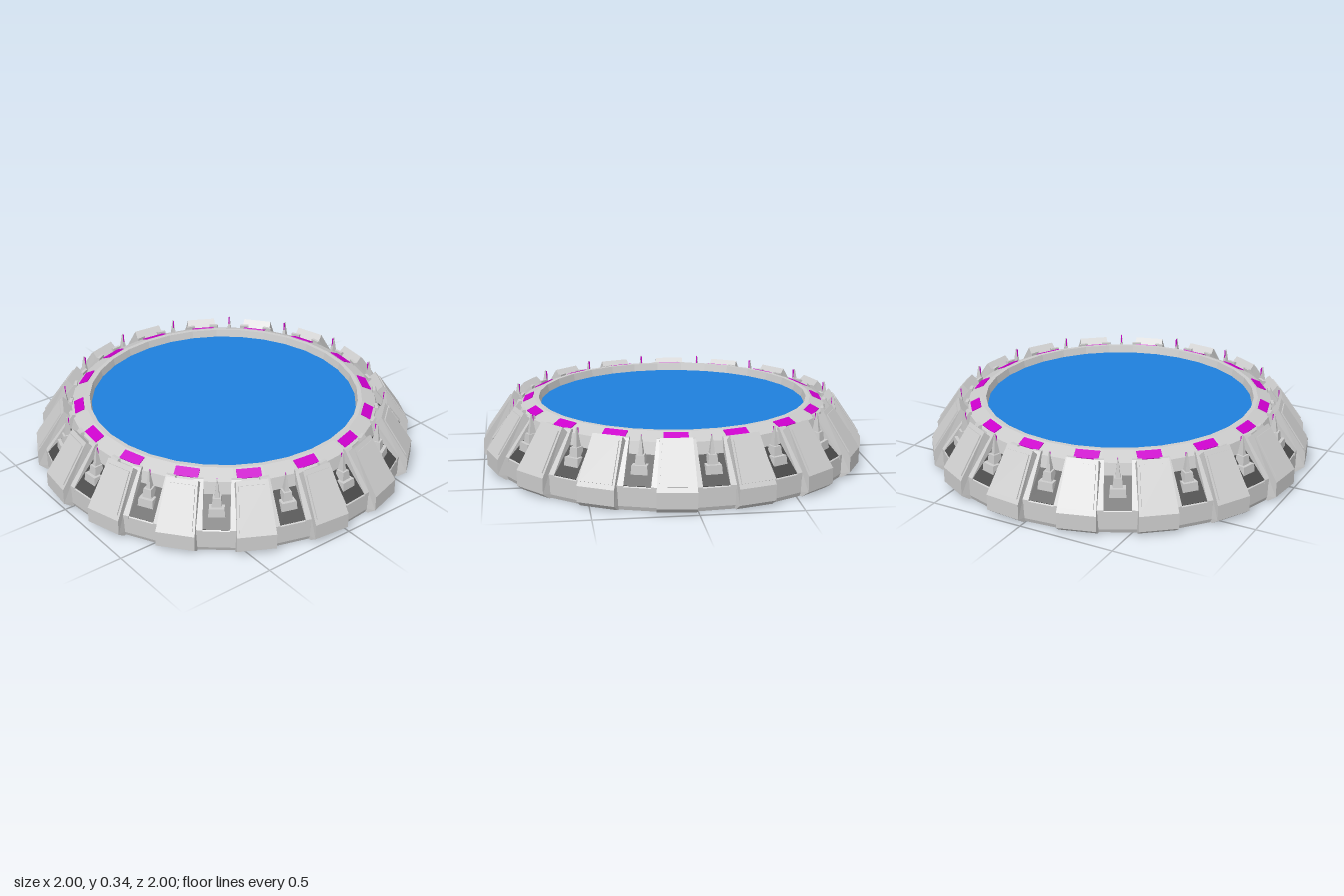
import * as THREE from 'three';

const COUNT = 16;
const STEP = (Math.PI * 2) / COUNT;
const OFFSET = THREE.MathUtils.degToRad(-6);

const material = (color) => new THREE.MeshStandardMaterial({ color, flatShading: true });
const grey = material(0xcccccc);
const dark = material(0x484848);
const blue = material(0x1e7fdc);
const magenta = material(0xcc00cc);

function part(name, geometry, mat = grey) {
  const mesh = new THREE.Mesh(geometry, mat);
  mesh.name = name;
  return mesh;
}

// Prism from a radial profile [radius, height]; its half width depends on the height
function prism(profile, halfWidth) {
  const shape = new THREE.Shape(profile.map(([r, y]) => new THREE.Vector2(r, y)));
  const geometry = new THREE.ExtrudeGeometry(shape, { depth: 2, bevelEnabled: false });
  geometry.translate(0, 0, -1).rotateY(-Math.PI / 2);
  const p = geometry.attributes.position;
  for (let i = 0; i < p.count; i++) p.setX(i, p.getX(i) * halfWidth(p.getY(i)));
  geometry.computeVertexNormals();
  return geometry;
}

// Thin plate lying on the slope from (r0, y0) to (r1, y1)
function plate(name, width, thickness, [r0, y0], [r1, y1], mat) {
  const mesh = part(name, new THREE.BoxGeometry(width, thickness, Math.hypot(r1 - r0, y1 - y0)), mat);
  mesh.position.set(0, (y0 + y1) / 2, (r0 + r1) / 2);
  mesh.rotation.x = Math.atan2(y0 - y1, r1 - r0);
  return mesh;
}

function box(name, w, h, d, y, z, mat) {
  const mesh = part(name, new THREE.BoxGeometry(w, h, d), mat);
  mesh.position.set(0, y, z);
  return mesh;
}

// Four-sided tapering column
function taper(name, w0, d0, topScale, y0, y1, z, mat) {
  const geometry = new THREE.CylinderGeometry(Math.SQRT1_2 * topScale, Math.SQRT1_2, 1, 4).rotateY(Math.PI / 4);
  geometry.scale(w0, y1 - y0, d0);
  const mesh = part(name, geometry, mat);
  mesh.position.set(0, (y0 + y1) / 2, z);
  return mesh;
}

const blockHalf = (y) => (y <= 0.111 ? 0.096 : 0.096 - (y - 0.11) * 0.086);

const blockGeometry = prism(
  [[0.78, 0.001], [0.955, 0.001], [0.995, 0.03], [0.995, 0.11], [0.845, 0.33], [0.8, 0.285]], blockHalf);
const panelGeometry = prism(
  [[0.97, 0.125], [0.987, 0.133], [0.864, 0.313], [0.847, 0.305]], (y) => blockHalf(y) - 0.012);
const cheekGeometry = prism(
  [[0.8, 0.1], [0.95, 0.1], [0.95, 0.12], [0.805, 0.313], [0.79, 0.313]], () => 0.024);

// Buttress with its raised panel and the light on the rim behind it
function buttress() {
  const group = new THREE.Group();
  group.name = 'buttress';
  group.add(
    part('buttressBlock', blockGeometry),
    part('buttressPanel', panelGeometry),
    plate('rimLight', 0.12, 0.008, [0.737, 0.324], [0.785, 0.302], magenta));
  return group;
}

// Recessed bay with dark floor, side cheeks and a stepped spire
function bay() {
  const group = new THREE.Group();
  group.name = 'bay';
  group.add(plate('bayFloor', 0.14, 0.008, [0.817, 0.235], [0.943, 0.118], dark));
  for (const side of [-1, 1]) {
    const cheek = part('bayCheek', cheekGeometry);
    cheek.position.x = side * 0.09;
    group.add(cheek);
  }
  group.add(
    taper('spireBase', 0.088, 0.085, 0.85, 0.13, 0.205, 0.862),
    taper('spireStep', 0.05, 0.055, 0.8, 0.2, 0.25, 0.855),
    taper('spire', 0.024, 0.036, 0.15, 0.245, 0.345, 0.85),
    box('spireLight', 0.006, 0.06, 0.004, 0.312, 0.842, magenta));
  return group;
}

export function createModel() {
  const model = new THREE.Group();
  model.name = 'ringPlatform';

  // Faceted base with sloped sides and a raised inner rim
  const profile = [[0, 0], [0.945, 0], [0.953, 0.02], [0.953, 0.113], [0.82, 0.23], [0.803, 0.295],
    [0.728, 0.329], [0.706, 0.329], [0.697, 0.288], [0.68, 0.285]];
  const points = profile.map(([r, y]) => new THREE.Vector2(r, y));
  const base = part('base', new THREE.LatheGeometry(points, COUNT * 2, STEP / 4));
  base.rotation.y = OFFSET;
  model.add(base);

  // Flat centre
  const pool = part('centreDisc', new THREE.CircleGeometry(0.698, COUNT * 2).rotateX(-Math.PI / 2), blue);
  pool.position.y = 0.29;
  pool.rotation.y = OFFSET + STEP / 4;
  model.add(pool);

  // Alternating buttresses and bays
  for (let i = 0; i < COUNT; i++) {
    const block = buttress();
    block.rotation.y = OFFSET + i * STEP;
    const recess = bay();
    recess.rotation.y = OFFSET + (i + 0.5) * STEP;
    model.add(block, recess);
  }
  return model;
}
